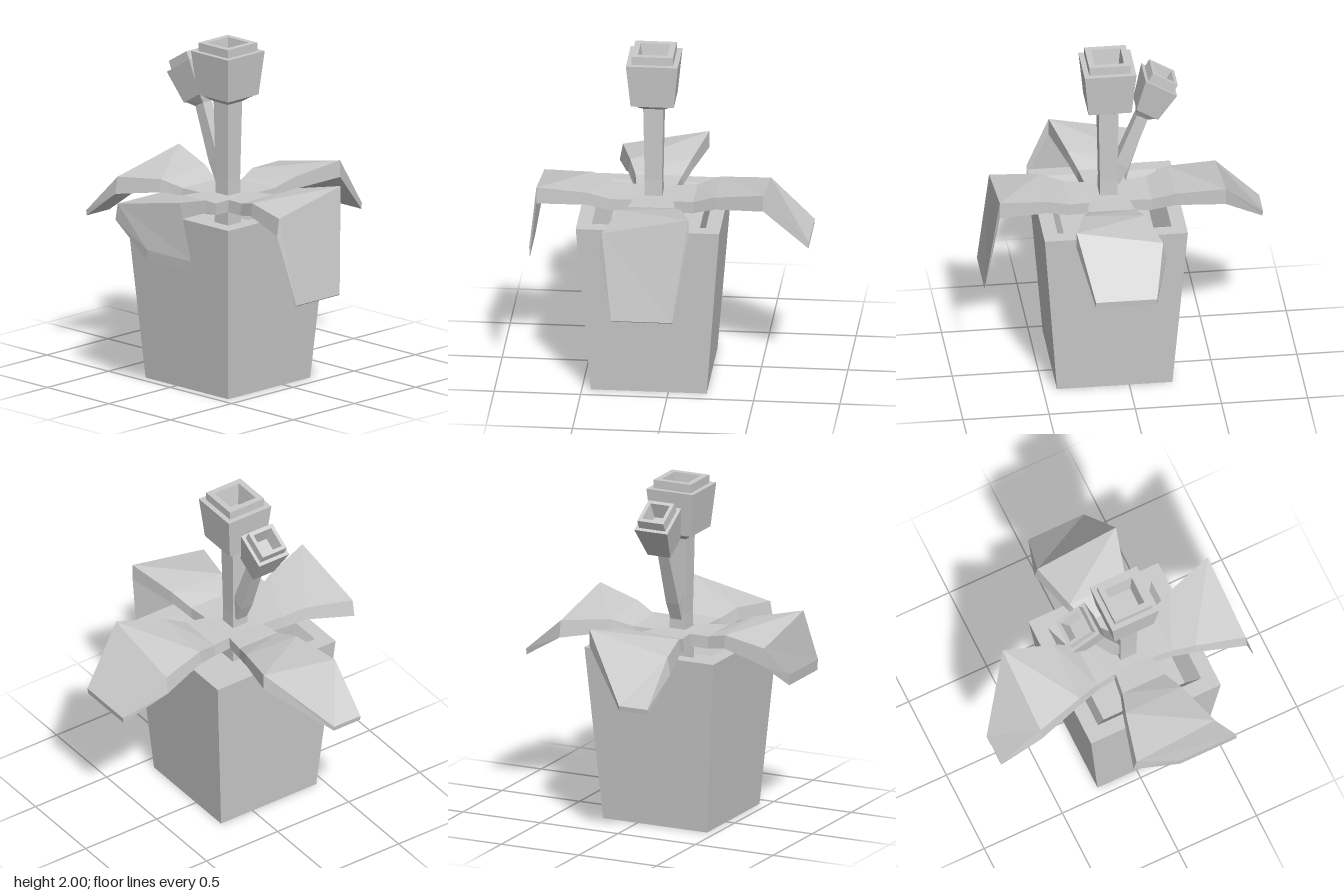
import * as THREE from 'three';

const CX = 0.085, CZ = 0.113; // axis of the pot and main stem
const material = new THREE.MeshStandardMaterial({ color: 0xcccccc, flatShading: true });

// Closed, flat-sided skin through a list of four-cornered rings
function loft(name, rings, flip = false) {
  const pos = [];
  const tri = (a, b, c) => (flip ? [a, c, b] : [a, b, c]).forEach(p => pos.push(...p));
  const quad = (a, b, c, d) => { tri(a, b, c); tri(a, c, d); };
  for (let i = 0; i < rings.length - 1; i++) {
    for (let j = 0; j < 4; j++) {
      const k = (j + 1) % 4;
      quad(rings[i][j], rings[i + 1][j], rings[i + 1][k], rings[i][k]);
    }
  }
  const end = rings[rings.length - 1];
  quad(...rings[0]);
  quad(end[3], end[2], end[1], end[0]);
  const geometry = new THREE.BufferGeometry();
  geometry.setAttribute('position', new THREE.Float32BufferAttribute(pos, 3));
  geometry.computeVertexNormals();
  const mesh = new THREE.Mesh(geometry, material);
  mesh.name = name;
  return mesh;
}

// Square ring of half-width h, tilted about z
function square(h, y, x = CX, tilt = 0) {
  const c = Math.cos(tilt) * h, s = Math.sin(tilt) * h;
  return [[x - c, y - s, CZ - h], [x + c, y + s, CZ - h], [x + c, y + s, CZ + h], [x - c, y - s, CZ + h]];
}

// Leaf running out along +/-x or +/-z; one long edge is higher than the other.
// fold: distance of the crease, tip: { u, top, bottom, low, high } in world units
function leaf(name, axis, sign, fold, tip) {
  const alongX = axis === 'x';
  const point = (u, y, v) => (alongX ? [u, y, v] : [v, y, u]);
  const start = alongX ? CX : CZ;
  const middle = alongX ? CZ : CX;
  const side = alongX ? -1 : 1; // direction of the higher edge
  const ring = (d, w, lowTop, highTop, thick) => {
    const u = start + sign * d, low = middle - side * w, high = middle + side * w;
    return [
      point(u, lowTop - thick, low), point(u, lowTop, low + side * w * 0.07),
      point(u, highTop, high), point(u, highTop - thick, high),
    ];
  };
  const rings = [
    ring(0.1, 0.12, 1.105, 1.105, 0.07),
    ring(0.24, 0.14, 1.11, 1.112, 0.07),
    ring(0.37, 0.185, 1.145, 1.165, 0.075),
    ring(fold, 0.26, 1.12, 1.22, 0.1),
    [
      point(tip.u - sign * 0.004, tip.bottom, tip.low), point(tip.u, tip.top, tip.low),
      point(tip.u, tip.top, tip.high), point(tip.u - sign * 0.004, tip.bottom, tip.high),
    ],
  ];
  return loft(name, rings, sign < 0);
}

export function createModel() {
  const model = new THREE.Group();
  model.name = 'pottedPlant';

  // Tapered pot with a sunken soil floor
  model.add(loft('pot', [square(0.335, 0), square(0.415, 1.035), square(0.33, 1.035), square(0.26, 0.87)]));

  // Main stem and hollow bloom
  model.add(loft('mainStem', [square(0.055, 0.86), square(0.05, 1.2), square(0.058, 1.65), square(0.115, 1.69)]));
  model.add(loft('mainBloom', [
    square(0.125, 1.69), square(0.15, 1.95), square(0.12, 1.95),
    square(0.12, 2), square(0.085, 2), square(0.07, 1.87),
  ]));

  // Leaning side stem and smaller bloom
  model.add(loft('sideStem', [
    square(0.035, 1.18, 0.05, 0.4), square(0.041, 1.295, 0.005, 0.6),
    square(0.035, 1.6, -0.113, 0.5), square(0.065, 1.637, -0.137, 0.54),
  ]));
  model.add(loft('sideBloom', [
    square(0.073, 1.637, -0.137, 0.54), square(0.106, 1.825, -0.215, 0.54), square(0.085, 1.825, -0.215, 0.54),
    square(0.084, 1.873, -0.24, 0.54), square(0.062, 1.873, -0.24, 0.54), square(0.05, 1.79, -0.2, 0.54),
  ]));

  // Leaf crown: a central pad with four drooping leaves
  model.add(loft('leafPad', [square(0.12, 1.035), square(0.12, 1.105)]));
  model.add(leaf('leftLeaf', 'x', 1, 0.657, { u: 0.82, top: 0.605, bottom: 0.6, low: 0.295, high: -0.06 }));
  model.add(leaf('rightLeaf', 'x', -1, 0.655, { u: -0.825, top: 0.87, bottom: 0.84, low: 0.355, high: 0.17 }));
  model.add(leaf('frontLeaf', 'z', 1, 0.657, { u: 0.8, top: 0.9, bottom: 0.835, low: 0.11, high: 0.47 }));
  model.add(leaf('backLeaf', 'z', -1, 0.655, { u: -0.8, top: 0.9, bottom: 0.865, low: -0.09, high: 0.265 }));

  return model;
}
